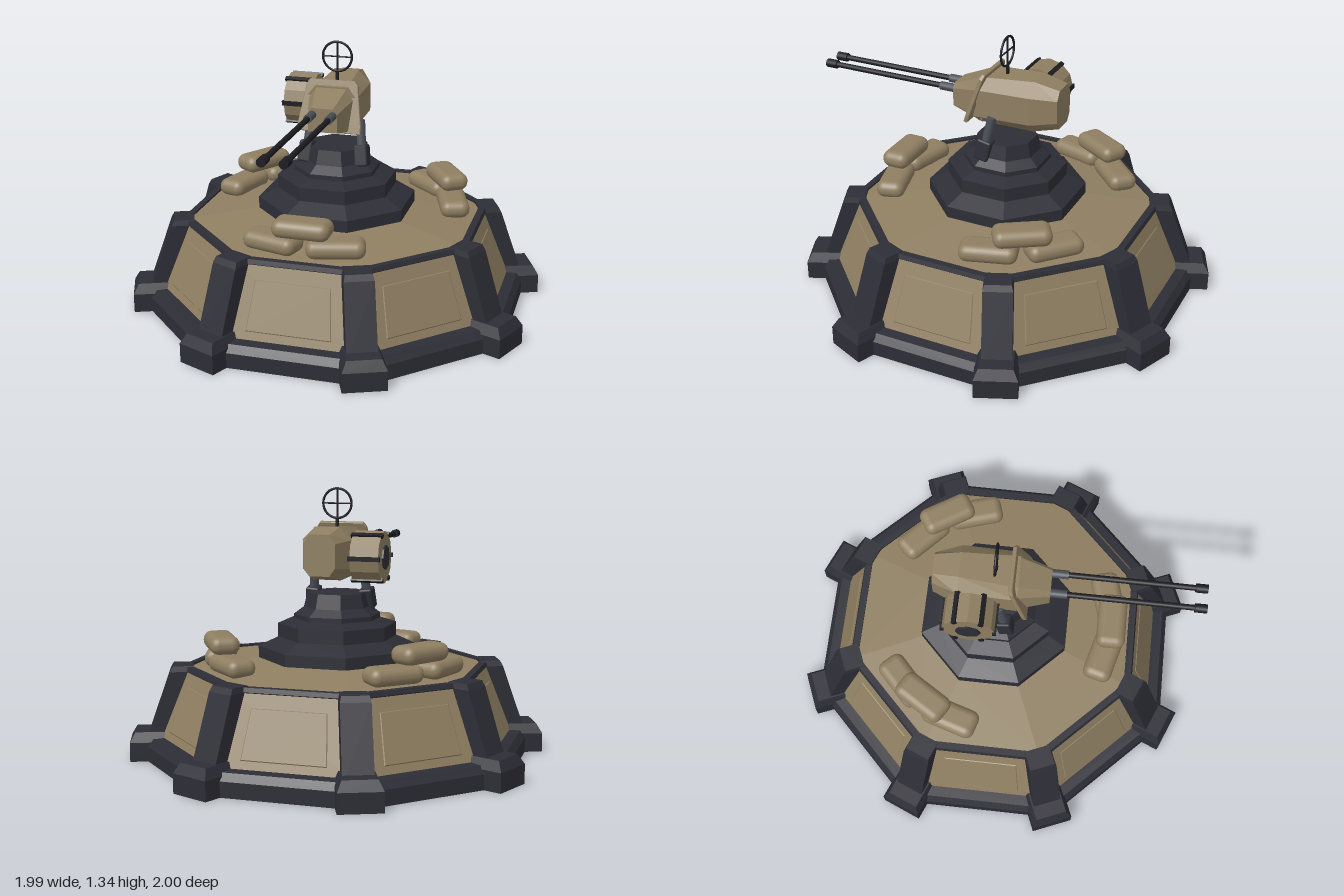
import * as THREE from 'three';
import { RoundedBoxGeometry } from 'three/addons/geometries/RoundedBoxGeometry.js';

const mat = (name, color) => {
  const m = new THREE.MeshStandardMaterial({ color });
  m.name = name;
  return m;
};

export function createModel() {
  const tan = mat('tan armour', 0x8f7f62);
  const dark = mat('dark frame', 0x2d2d36);
  const black = mat('gun black', 0x1c1c21);
  const grey = mat('steel grey', 0x4a4f57);
  const model = new THREE.Group();
  model.name = 'turret';

  const add = (parent, name, geo, material, x = 0, y = 0, z = 0) => {
    const mesh = new THREE.Mesh(geo, material);
    mesh.name = name;
    mesh.position.set(x, y, z);
    parent.add(mesh);
    return mesh;
  };
  const group = (name, angle = 0) => {
    const g = new THREE.Group();
    g.name = name;
    g.rotation.y = angle;
    model.add(g);
    return g;
  };
  const flat = (geo) => {
    const g = geo.index ? geo.toNonIndexed() : geo;
    g.computeVertexNormals();
    return g;
  };
  // Eight-sided lathe; profile points are [apothem, height]
  const octagon = (profile) => flat(new THREE.LatheGeometry(
    profile.map(([r, y]) => new THREE.Vector2(r / Math.cos(Math.PI / 8), y)), 8, Math.PI / 8));
  // Flat-shaded skin over matching rings, capped at both ends
  const loft = (rings) => {
    const n = rings[0].length, pos = [];
    const tri = (...pts) => pts.forEach((p) => pos.push(...p));
    for (let k = 0; k + 1 < rings.length; k++) {
      const a = rings[k], b = rings[k + 1];
      for (let i = 0; i < n; i++) {
        const j = (i + 1) % n;
        tri(a[i], a[j], b[j]);
        tri(a[i], b[j], b[i]);
      }
    }
    const s = rings[0], e = rings[rings.length - 1];
    for (let i = 1; i + 1 < n; i++) {
      tri(s[0], s[i + 1], s[i]);
      tri(e[0], e[i], e[i + 1]);
    }
    const g = new THREE.BufferGeometry();
    g.setAttribute('position', new THREE.Float32BufferAttribute(pos, 3));
    g.computeVertexNormals();
    return g;
  };
  const plate = (points, depth, bevel) => new THREE.ExtrudeGeometry(
    new THREE.Shape(points.map(([x, y]) => new THREE.Vector2(x, y))),
    { depth, bevelEnabled: bevel > 0, bevelThickness: bevel, bevelSize: bevel, bevelSegments: 1 });
  const rod = (r, length, sides = 12) => new THREE.CylinderGeometry(r, r, length, sides);

  // Octagonal base, from the ground up
  add(model, 'baseRim', octagon([[0, 0], [0.915, 0], [0.915, 0.075], [0.89, 0.11], [0.835, 0.115]]), dark);
  add(model, 'slopedWall', octagon([[0.84, 0.11], [0.717, 0.44]]), tan);
  add(model, 'topRim', octagon([[0.717, 0.437], [0.722, 0.442], [0.715, 0.463], [0.682, 0.463], [0.682, 0.44]]), dark);
  add(model, 'deck', octagon([[0.69, 0.452], [0.36, 0.497], [0, 0.5]]), tan);

  // Corner posts with feet, and the wall panels between them
  const rect = (hw, r0, r1, y) => [[-hw, y, r1], [hw, y, r1], [hw, y, r0], [-hw, y, r0]];
  const panelGeo = plate([[-0.2, -0.116], [0.2, -0.116], [0.178, 0.116], [-0.178, 0.116]], 0.002, 0.006);
  const postGeo = loft([rect(0.072, 0.8, 0.955, 0.1), rect(0.07, 0.72, 0.835, 0.44), rect(0.063, 0.72, 0.82, 0.468)]);
  const footGeo = loft([rect(0.103, 0.82, 1.037, 0), rect(0.103, 0.82, 1.037, 0.095), rect(0.08, 0.82, 1.01, 0.143)]);
  for (let k = 0; k < 8; k++) {
    const corner = group('corner', (k + 0.5) * Math.PI / 4);
    add(corner, 'cornerPost', postGeo, dark);
    add(corner, 'cornerFoot', footGeo, dark);
    const side = group('wallSide', k * Math.PI / 4);
    add(side, 'wallPanel', panelGeo, tan, 0, 0.262, 0.779).rotation.x = -0.36;
  }

  // Stepped pedestal
  add(model, 'pedestal', octagon([[0.365, 0.485], [0.365, 0.555], [0.275, 0.6], [0.275, 0.668],
    [0.2, 0.692], [0.2, 0.715], [0.155, 0.75], [0.138, 0.822], [0, 0.822]]), dark);

  // Three stacks of sandbags
  const bagGeo = new RoundedBoxGeometry(0.28, 0.088, 0.145, 3, 0.042);
  for (const degrees of [0, 122, -122]) {
    const stack = group('sandbagStack', THREE.MathUtils.degToRad(degrees));
    for (const s of [-1, 1])
      add(stack, 'lowerSandbag', bagGeo, tan, s * 0.152, 0.503, 0.565).rotation.y = s * 0.26;
    add(stack, 'upperSandbag', bagGeo, tan, 0, 0.591, 0.588);
  }

  // Yoke: tilted sockets and struts
  for (const s of [-1, 1]) {
    const arm = group('yokeArm');
    arm.position.set(s * 0.142, 0.788, 0.058);
    arm.rotation.set(-0.2, 0, s * 0.1);
    add(arm, 'yokeSocket', new RoundedBoxGeometry(0.068, 0.105, 0.075, 1, 0.01), dark);
    add(arm, 'yokeStrut', rod(0.023, 0.18), grey, 0, 0.085, 0);
  }

  // Gun housing and nose, lofted back to front
  const section = (z, w, top, bottom, yb, y1, y2, yt) => [[bottom, yb, z], [w, y1, z], [w, y2, z], [top, yt, z],
    [-top, yt, z], [-w, y2, z], [-w, y1, z], [-bottom, yb, z]];
  add(model, 'gunHousing', loft([
    section(-0.297, 0.078, 0.05, 0.05, 0.93, 0.97, 1.085, 1.13),
    section(-0.17, 0.124, 0.062, 0.07, 0.9, 0.955, 1.095, 1.157),
    section(0.11, 0.124, 0.08, 0.1, 0.916, 0.945, 1.085, 1.138)]), tan);
  add(model, 'gunNose', loft([
    section(0.08, 0.118, 0.08, 0.112, 0.918, 0.93, 1.085, 1.142),
    section(0.262, 0.072, 0.052, 0.07, 0.953, 0.96, 1.045, 1.07)]), tan);
  const collar = add(model, 'collarPlate', plate([[-0.155, -0.125], [0.155, -0.125], [0.155, -0.09],
    [0.125, 0.105], [0.11, 0.125], [-0.11, 0.125], [-0.125, 0.105], [-0.155, -0.09]], 0.014, 0.003),
  tan, 0, 1.041, 0.108);
  collar.rotation.x = -0.31;

  // Twin barrels
  for (const s of [-1, 1]) {
    const barrel = group('barrelAssembly');
    barrel.position.set(s * 0.05, 1.037, 0);
    barrel.rotation.x = Math.PI / 2;
    add(barrel, 'barrelSleeve', rod(0.021, 0.1), grey, 0, 0.29, 0);
    add(barrel, 'barrel', rod(0.014, 0.65), black, 0, 0.64, 0);
    add(barrel, 'muzzle', rod(0.022, 0.058), black, 0, 0.971, 0);
  }

  // Ammunition drum with six clamp bars
  const drum = group('ammoDrum');
  drum.position.set(-0.2, 1.012, -0.105);
  drum.rotation.z = Math.PI / 2;
  add(drum, 'drumBody', flat(rod(0.127, 0.142)), tan);
  add(drum, 'drumNeck', rod(0.07, 0.1), dark, 0, -0.07, 0);
  add(drum, 'drumHub', flat(rod(0.06, 0.012, 8)), dark, 0, 0.074, 0);
  for (let k = 0; k < 6; k++) {
    const a = k * Math.PI / 3;
    const bar = add(drum, 'drumBar', new THREE.BoxGeometry(0.022, 0.158, 0.018), black,
      Math.sin(a) * 0.124, 0, Math.cos(a) * 0.124);
    bar.rotation.y = a;
  }

  // Ring sight with crosshair
  add(model, 'sightRing', new THREE.TorusGeometry(0.073, 0.006, 8, 32), black, 0, 1.262, 0);
  add(model, 'sightPost', rod(0.005, 0.19, 8), black, 0, 1.24, 0);
  add(model, 'sightStem', rod(0.009, 0.05, 8), black, 0, 1.16, 0);
  add(model, 'sightCrossbar', rod(0.004, 0.146, 8), black, 0, 1.262, 0).rotation.z = Math.PI / 2;

  return model;
}
